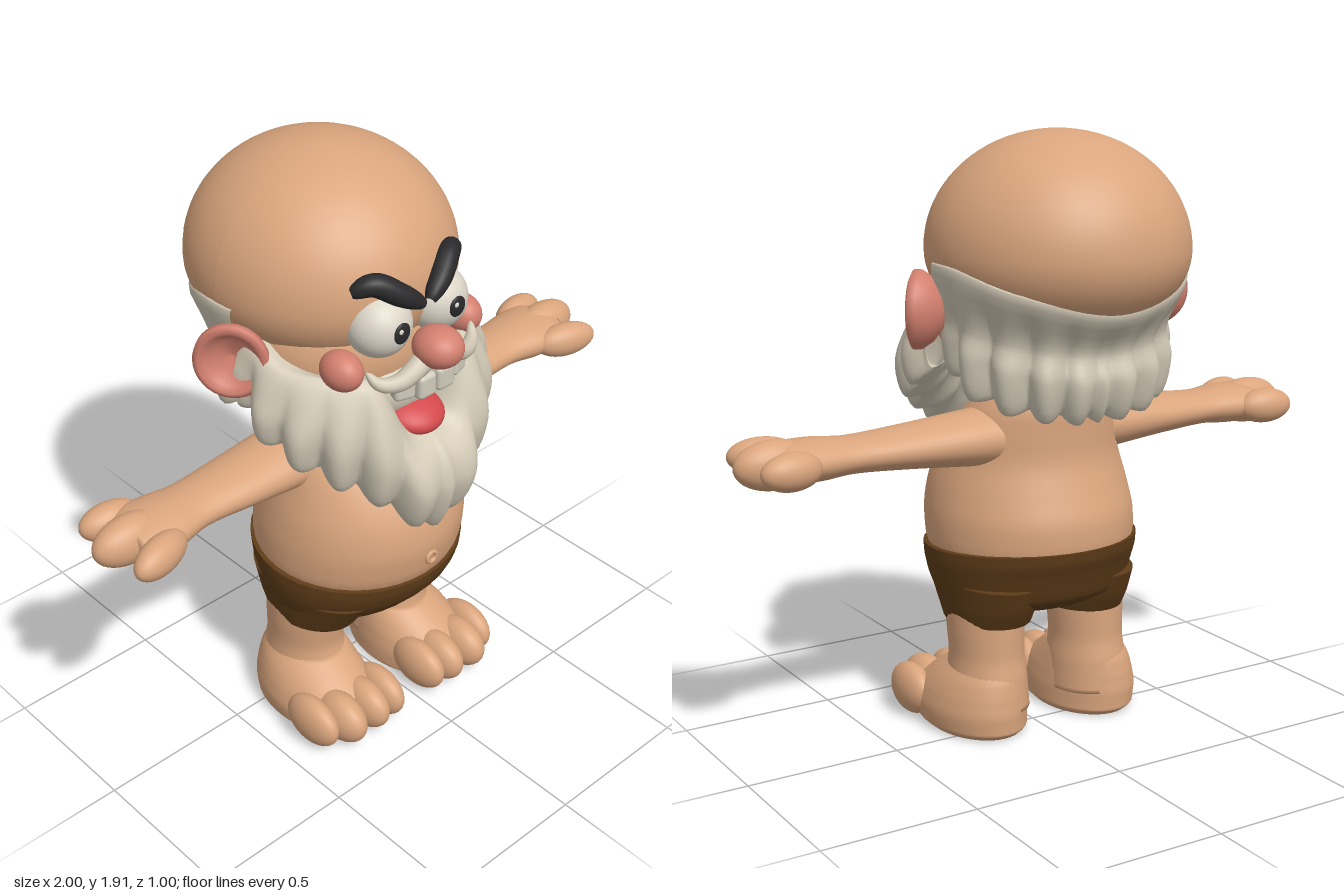
import * as THREE from 'three';
import { mergeVertices } from 'three/addons/utils/BufferGeometryUtils.js';
import { RoundedBoxGeometry } from 'three/addons/geometries/RoundedBoxGeometry.js';

const V = (x, y, z) => new THREE.Vector3(x, y, z);
const mat = (name, color, side = THREE.FrontSide) => {
  const m = new THREE.MeshStandardMaterial({ color, side });
  m.name = name;
  return m;
};

// Smooth surface from a rule fn(u, v) -> Vector3; front face is du x dv
function surface(nu, nv, fn) {
  const pos = [], idx = [], w = nu + 1;
  for (let i = 0; i <= nv; i++) for (let j = 0; j <= nu; j++) {
    const p = fn(j / nu, i / nv, i);
    pos.push(p.x, p.y, p.z);
    if (i < nv && j < nu) {
      const a = i * w + j;
      idx.push(a, a + 1, a + w + 1, a, a + w + 1, a + w);
    }
  }
  let g = new THREE.BufferGeometry();
  g.setAttribute('position', new THREE.Float32BufferAttribute(pos, 3));
  g.setIndex(idx);
  g = mergeVertices(g, 1e-5);
  g.computeVertexNormals();
  return g;
}

// Closed loft through elliptical rows [y, cx, cz, rx, rz], bottom to top
function loft(rows, tilt = 0, nv = 30) {
  const c = new THREE.CatmullRomCurve3(rows.map(r => V(r[1], r[0], r[2])));
  const s = new THREE.CatmullRomCurve3(rows.map(r => V(r[3], 0, r[4])));
  return surface(40, nv + 2, (u, v, i) => {
    const t = Math.min(1, Math.max(0, (i - 1) / nv)), k = i === 0 || i === nv + 2 ? 0 : 1;
    const p = c.getPoint(t), q = s.getPoint(t), a = u * Math.PI * 2;
    p.x += k * q.x * Math.sin(a);
    p.z += k * q.z * Math.cos(a);
    p.y += tilt * p.z;
    return p;
  });
}

// Tapered strand along a path; rad(t) gives its thickness
function strand(points, rad) {
  const c = new THREE.CatmullRomCurve3(points), f = c.computeFrenetFrames(24);
  return surface(14, 24, (u, v, i) => {
    const a = -u * Math.PI * 2, r = rad(v);
    return c.getPoint(v).addScaledVector(f.normals[i], -r * Math.cos(a)).addScaledVector(f.binormals[i], r * Math.sin(a));
  });
}

// Wrapped shell of wavy locks; keys are [degrees, [[radius, y] from top inside to bottom inside]]
function locks(keys, cz, width, amp) {
  const all = [...keys.slice(1).reverse().map(([a, p]) => [-a, p]), ...keys];
  const curves = keys[0][1].map((_, k) => new THREE.CatmullRomCurve3(all.map(([a, p]) => V(a, p[k][1], p[k][0]))));
  curves.reverse();
  return surface(160, 30, (u, v) => {
    const q = new THREE.CatmullRomCurve3(curves.map(c => c.getPoint(u))).getPoint(v);
    const wave = Math.abs(Math.cos(Math.PI * (Math.abs(q.x) / width + 0.5 * v)));
    const bell = v < 0.78 ? Math.sin(Math.PI * v / 0.78) : 0;
    const side = 0.45 + 0.55 * Math.min(1, Math.abs(q.x) / 30);
    const r = q.z + amp * (wave - 0.65) * bell * side, a = q.x * Math.PI / 180;
    const drop = 0.03 * (wave - 0.6) * Math.max(0, 1 - Math.abs(v - 0.33) / 0.25);
    return V(r * Math.sin(a), q.y - drop, cz + r * Math.cos(a));
  });
}

export function createModel() {
  const skin = mat('skin', 0xdaa57d), hair = mat('hair', 0xd3cab7, THREE.DoubleSide);
  const pink = mat('pink', 0xd3806f), brown = mat('shorts', 0x5f3d19), dark = mat('dark', 0x29292b);
  const white = mat('eyeWhite', 0xdcd6c8), red = mat('tongue', 0xd2494c), tooth = mat('tooth', 0xd0cbbb);

  const model = new THREE.Group(), figure = new THREE.Group();
  model.name = 'beardedMan';
  figure.name = 'figure';
  figure.position.x = -0.04;
  model.add(figure);

  const add = (name, geo, m, x = 0, y = 0, z = 0) => {
    const mesh = new THREE.Mesh(geo, m);
    mesh.name = name;
    mesh.position.set(x, y, z);
    figure.add(mesh);
    return mesh;
  };
  const ball = (name, m, x, y, z, rx, ry = rx, rz = rx) =>
    add(name, new THREE.SphereGeometry(1, 32, 24).scale(rx, ry, rz), m, x, y, z);

  // Skull, squashed below its widest line
  const skull = new THREE.SphereGeometry(1, 56, 40).scale(0.405, 0.36, 0.42);
  const sp = skull.attributes.position;
  for (let i = 0; i < sp.count; i++) if (sp.getY(i) < 0) sp.setY(i, sp.getY(i) * 0.78);
  skull.computeVertexNormals();
  add('skull', skull, skin, 0, 1.55, -0.08);
  ball('face', skin, 0, 1.36, 0, 0.35, 0.27, 0.32);

  // Torso and navel
  add('torso', loft([
    [0.54, 0, 0.08, 0.31, 0.29], [0.62, 0, 0.083, 0.338, 0.328], [0.7, 0, 0.09, 0.338, 0.335],
    [0.8, 0, 0.1, 0.322, 0.313], [0.89, 0, 0.093, 0.295, 0.277], [0.98, 0, 0.06, 0.27, 0.24],
    [1.06, 0, 0.02, 0.23, 0.2], [1.13, 0, 0, 0.175, 0.16], [1.25, 0, 0, 0.15, 0.14]]), skin);
  add('navel', new THREE.TorusGeometry(0.018, 0.008, 10, 20), skin, 0, 0.67, 0.422);

  // Shorts: waist bowl and two cuffs
  add('shorts', loft([
    [0.4, 0, 0.06, 0.22, 0.17], [0.44, 0, 0.065, 0.315, 0.245], [0.52, 0, 0.08, 0.342, 0.295],
    [0.575, 0, 0.08, 0.35, 0.32], [0.612, 0, 0.08, 0.35, 0.328]], -0.055), brown);

  for (const s of [1, -1]) {
    const side = s > 0 ? 'left' : 'right';
    add(side + 'Cuff', loft([
      [0.365, s * 0.175, 0.06, 0.13, 0.17], [0.42, s * 0.175, 0.063, 0.14, 0.205],
      [0.5, s * 0.175, 0.075, 0.15, 0.25]]), brown);

    // Leg and foot
    add(side + 'Leg', loft([
      [0.08, s * 0.19, 0.035, 0.13, 0.15], [0.18, s * 0.19, 0.04, 0.125, 0.148],
      [0.26, s * 0.19, 0.04, 0.117, 0.135], [0.34, s * 0.19, 0.045, 0.12, 0.14],
      [0.42, s * 0.19, 0.05, 0.12, 0.145]]), skin);
    add(side + 'Foot', loft([
      [0, s * 0.205, 0.1, 0.14, 0.2], [0.02, s * 0.207, 0.11, 0.158, 0.232], [0.07, s * 0.21, 0.115, 0.162, 0.24],
      [0.13, s * 0.207, 0.1, 0.152, 0.22], [0.18, s * 0.2, 0.07, 0.135, 0.18],
      [0.22, s * 0.19, 0.045, 0.115, 0.14]]), skin);
    [[0.092, 0.29, 0.053], [0.17, 0.3, 0.058], [0.27, 0.3, 0.062], [0.348, 0.255, 0.052]].forEach(([x, z, r], i) =>
      ball(side + 'Toe' + i, skin, s * x, 0.088, z, r, 0.083, 0.11));

    // Arm and three-lobed hand, one arm slightly longer
    const len = s > 0 ? 1.04 : 0.96;
    const arm = loft([
      [0.1, 0, 0.025, 0.1, 0.13], [0.27, 0, 0.025, 0.085, 0.125], [0.45, 0, 0.025, 0.068, 0.112],
      [0.64, 0, 0.025, 0.056, 0.098], [0.75, 0, 0.03, 0.064, 0.115], [0.83, 0, 0.03, 0.062, 0.125],
      [0.89, 0, 0.03, 0.045, 0.085]].map(r => [r[0] * len, ...r.slice(1)]));
    add(side + 'Arm', arm.rotateZ(-s * Math.PI / 2), skin, 0, 0.965, 0);
    [[0.865, -0.077, 0.1, 0.058, 0.054, 0.12], [0.875, 0.03, 0.125, 0.076, 0.066, 0],
      [0.855, 0.152, 0.11, 0.058, 0.052, -0.3]].forEach(([x, z, rx, ry, rz, turn], i) => {
      ball(side + 'Finger' + i, skin, s * x * len, 0.963, z, rx, ry, rz).rotation.y = s * turn;
    });

    // Cupped ear facing outward and forward
    const cup = new THREE.LatheGeometry([
      [0, -0.06], [0.05, -0.052], [0.09, -0.02], [0.112, 0.015], [0.112, 0.038], [0.096, 0.046],
      [0.08, 0.03], [0.05, 0.005], [0, -0.008]].map(p => new THREE.Vector2(...p)), 36);
    cup.rotateX(Math.PI / 2).scale(1, 1.07, 1).rotateY(s * 0.87);
    add(side + 'Ear', cup, pink, s * 0.412, 1.382, 0.0);

    // Cheek, eye, brow and moustache half
    ball(side + 'Cheek', pink, s * 0.24, 1.388, 0.275, 0.058, 0.06, 0.072);
    ball(side + 'Eye', white, s * 0.112, 1.5, 0.288, 0.1);
    ball(side + 'Pupil', dark, s * 0.11, 1.507, 0.385, 0.03, 0.033, 0.009);
    ball(side + 'EyeGlint', white, s * 0.11 - 0.01, 1.518, 0.392, 0.008, 0.008, 0.004);
    add(side + 'Brow', strand([
      V(s * 0.205, 1.625, 0.275), V(s * 0.15, 1.645, 0.305), V(s * 0.08, 1.603, 0.345), V(s * 0.012, 1.558, 0.37)],
    t => 0.036 * Math.pow(Math.sin(Math.PI * (0.02 + 0.96 * t)), 0.35)), dark);
    add(side + 'Moustache', strand([
      V(0, 1.405, 0.385), V(s * 0.06, 1.39, 0.405), V(s * 0.13, 1.36, 0.4), V(s * 0.185, 1.363, 0.375),
      V(s * 0.21, 1.4, 0.345)], t => 0.036 * Math.pow(1 - t, 0.5) + 0.002), hair);

    // Upper teeth
    [[0.037, 0.078, 0.405], [0.106, 0.064, 0.388]].forEach(([x, h, z], i) => {
      const t = add(side + 'Tooth' + i, new RoundedBoxGeometry(0.068, h, 0.045, 3, 0.015), tooth, s * x, 1.355 - h / 2, z);
      t.rotation.y = s * i * 0.3;
    });
  }

  // Nose, mouth and tongue
  ball('nose', pink, 0, 1.435, 0.42, 0.073, 0.062, 0.08);
  ball('mouthLining', hair, 0, 1.25, 0.2, 0.21, 0.13, 0.15);
  ball('tongue', red, 0, 1.172, 0.32, 0.1, 0.048, 0.1).rotation.x = 0.25;

  // Beard, from ear to ear with a long pointed chin
  add('beard', locks([
    [0, [[0.22, 1.12], [0.32, 1.15], [0.42, 1.08], [0.45, 0.96], [0.37, 0.8], [0.28, 0.92], [0.2, 1.1]]],
    [14, [[0.22, 1.14], [0.33, 1.17], [0.42, 1.09], [0.445, 0.98], [0.375, 0.85], [0.28, 0.94], [0.2, 1.1]]],
    [28, [[0.26, 1.31], [0.34, 1.33], [0.41, 1.2], [0.425, 1.08], [0.37, 0.94], [0.28, 1.0], [0.22, 1.1]]],
    [50, [[0.3, 1.34], [0.34, 1.36], [0.41, 1.24], [0.42, 1.14], [0.38, 1.03], [0.3, 1.08], [0.25, 1.15]]],
    [75, [[0.32, 1.38], [0.37, 1.38], [0.42, 1.27], [0.43, 1.2], [0.4, 1.12], [0.33, 1.15], [0.28, 1.2]]],
    [96, [[0.33, 1.46], [0.38, 1.46], [0.4, 1.38], [0.41, 1.3], [0.39, 1.21], [0.34, 1.22], [0.3, 1.28]]],
  ], 0.05, 17, 0.045), hair);

  // Back hair, a smooth band ending in curls
  add('backHair', locks([
    [0, [[0.33, 1.42], [0.372, 1.385], [0.29, 1.26], [0.31, 1.17], [0.26, 1.055], [0.2, 1.07], [0.12, 1.15]]],
    [45, [[0.37, 1.47], [0.412, 1.45], [0.335, 1.29], [0.345, 1.2], [0.3, 1.08], [0.23, 1.1], [0.15, 1.16]]],
    [75, [[0.38, 1.53], [0.415, 1.51], [0.37, 1.33], [0.375, 1.25], [0.34, 1.13], [0.27, 1.14], [0.2, 1.2]]],
    [95, [[0.38, 1.53], [0.405, 1.52], [0.37, 1.36], [0.36, 1.28], [0.33, 1.19], [0.27, 1.2], [0.2, 1.25]]],
  ], 0.05, 20, 0.045).rotateY(Math.PI), hair);

  return model;
}
